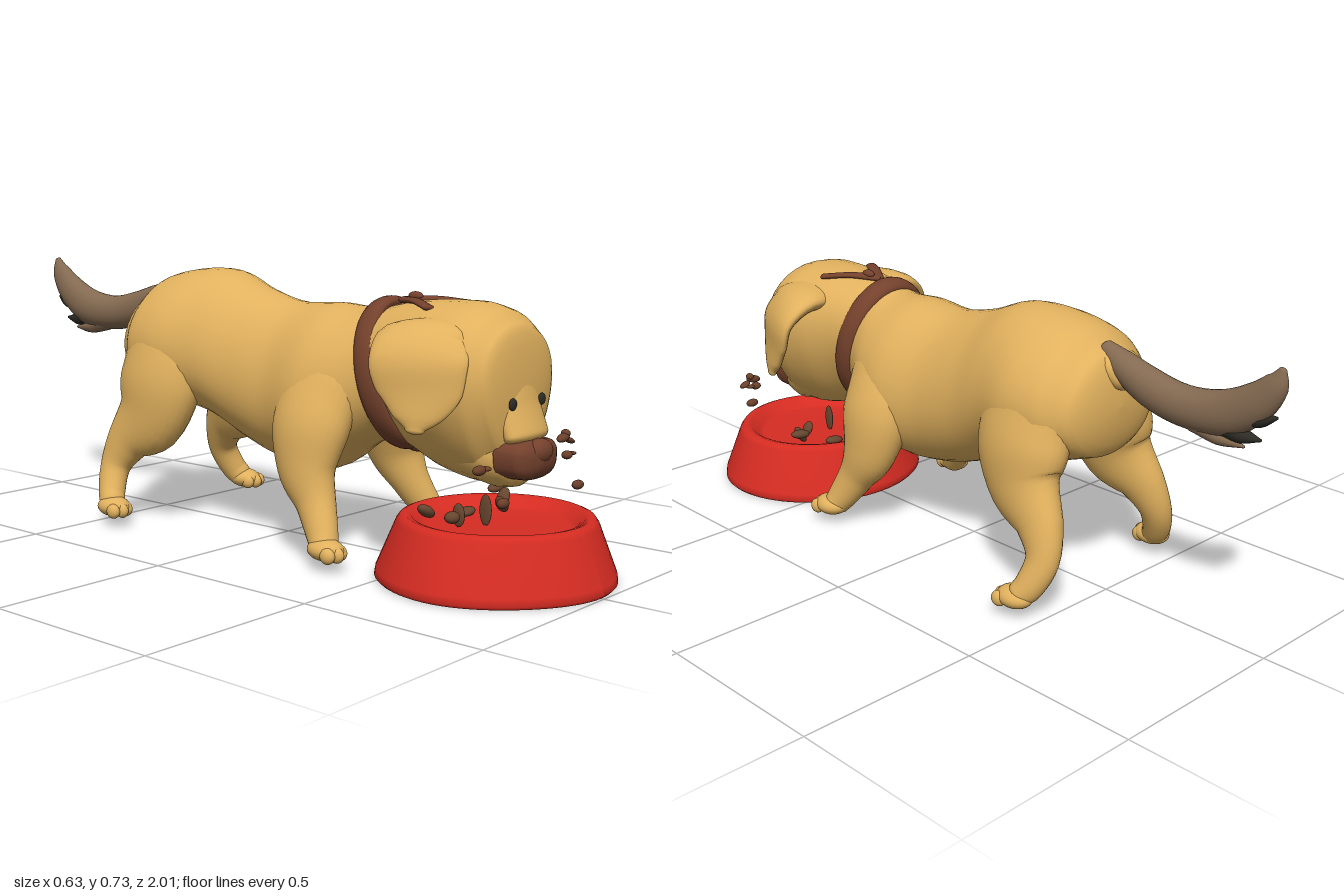
import * as THREE from 'three';

const paint = (name, color) => Object.assign(new THREE.MeshStandardMaterial({ color }), { name });

// Smooth rounded skin through rows of [x, y, z, halfWidth, halfDepth].
// side: direction of halfWidth; axis: fixed ring normal (else follows the path); dome: end bulge;
// taper: widens one half of each ring; power: below 1 squares the rings off.
function sweep(rows, { side = [1, 0, 0], axis = null, dome = 1, taper = 0, power = 1, steps = 28, sides = 28 } = {}) {
  const path = new THREE.CatmullRomCurve3(rows.map(r => new THREE.Vector3(r[0], r[1], r[2])));
  const size = new THREE.CatmullRomCurve3(rows.map(r => new THREE.Vector3(r[3], r[4], 0)));
  const pos = [], index = [], rings = [], cap = 6;
  const sideV = new THREE.Vector3(...side);
  const bend = v => Math.sign(v) * Math.abs(v) ** power;
  for (let k = 0; k < cap; k++) rings.push([0, -1, (1 - k / cap) * Math.PI / 2]);
  for (let i = 0; i <= steps; i++) rings.push([i / steps, 0, 0]);
  for (let k = 1; k <= cap; k++) rings.push([1, 1, (k / cap) * Math.PI / 2]);
  rings.forEach(([t, end, phi]) => {
    const p = path.getPoint(t), r = size.getPoint(t);
    const T = axis ? new THREE.Vector3(...axis) : path.getTangent(t);
    const S = sideV.clone().addScaledVector(T, -sideV.dot(T)).normalize();
    const U = new THREE.Vector3().crossVectors(T, S);
    p.addScaledVector(T, end * Math.sin(phi) * Math.min(r.x, r.y) * dome);
    const k = Math.max(Math.cos(phi), 0.002);
    for (let j = 0; j < sides; j++) {
      const a = j / sides * Math.PI * 2;
      const c = bend(Math.cos(a)), s = bend(Math.sin(a));
      const v = p.clone().addScaledVector(S, r.x * k * c * (1 + taper * s)).addScaledVector(U, r.y * k * s);
      pos.push(v.x, v.y, v.z);
    }
  });
  for (let i = 0; i < rings.length - 1; i++) {
    for (let j = 0; j < sides; j++) {
      const a = i * sides + j, b = i * sides + (j + 1) % sides;
      index.push(a, b, a + sides, b, b + sides, a + sides);
    }
  }
  const g = new THREE.BufferGeometry();
  g.setAttribute('position', new THREE.Float32BufferAttribute(pos, 3));
  g.setIndex(index);
  g.computeVertexNormals();
  return g;
}

export function createModel() {
  const model = new THREE.Group();
  const fur = paint('golden fur', 0xe1b15e);
  const brown = paint('leather brown', 0x74412c);
  const tailFur = paint('tail brown', 0x846a51);
  const crumb = paint('crumb brown', 0x6b3f2a);
  const food = paint('food brown', 0x67462f);
  const red = paint('bowl red', 0xd62c22);
  const black = paint('eye black', 0x2c2b24);

  const add = (name, geometry, material) => {
    const m = new THREE.Mesh(geometry, material);
    m.name = name;
    model.add(m);
    return m;
  };
  const blob = (name, [x, y, z], [a, b, c], material, tilt = 0) => {
    const m = add(name, new THREE.SphereGeometry(1, 24, 16), material);
    m.position.set(x, y, z);
    m.scale.set(a, b, c);
    m.rotation.z = tilt;
  };

  // Torso, from neck to rump
  add('body', sweep([
    [0, 0.49, 0.42, 0.13, 0.16], [0, 0.49, 0.36, 0.145, 0.175], [0, 0.465, 0.28, 0.185, 0.19],
    [0, 0.435, 0.18, 0.205, 0.225], [0, 0.435, 0.05, 0.178, 0.22], [0, 0.47, -0.08, 0.178, 0.215],
    [0, 0.52, -0.2, 0.195, 0.21], [0, 0.535, -0.32, 0.222, 0.195], [0, 0.535, -0.42, 0.212, 0.175],
    [0, 0.525, -0.48, 0.17, 0.145],
  ], { axis: [0, 0, -1], dome: 0.36, taper: 0.12, steps: 48, sides: 40 }), fur);

  // Head: broad crown narrowing to the jaw, then muzzle and nose
  add('head', sweep([
    [0, 0.49, 0.36, 0.135, 0.17], [0, 0.49, 0.45, 0.15, 0.188], [0, 0.475, 0.55, 0.178, 0.213],
    [0, 0.465, 0.64, 0.186, 0.222], [0, 0.46, 0.70, 0.178, 0.213], [0, 0.465, 0.745, 0.148, 0.175],
  ], { axis: [0, 0, 1], dome: 0.2, taper: 0.22, sides: 40 }), fur);
  add('muzzle', sweep([
    [0, 0.36, 0.64, 0.125, 0.11], [0, 0.335, 0.71, 0.108, 0.1], [0, 0.318, 0.748, 0.089, 0.079],
  ], { axis: [0, 0, 1], dome: 0.5 }), fur);
  add('noseBridge', sweep([
    [0, 0.53, 0.735, 0.07, 0.03], [0, 0.45, 0.745, 0.085, 0.038], [0, 0.37, 0.775, 0.083, 0.036],
  ], { dome: 0.6 }), fur);
  add('nosePatch', sweep([
    [0, 0.316, 0.745, 0.093, 0.053], [0, 0.315, 0.798, 0.088, 0.05],
  ], { axis: [0, 0, 1], dome: 0.7, taper: 0.06, power: 0.72 }), brown);
  blob('noseTip', [0, 0.335, 0.812], [0.046, 0.032, 0.028], brown);

  for (const s of [1, -1]) {
    const sideName = s > 0 ? 'left' : 'right';
    const mirror = rows => rows.map(([x, ...rest]) => [x * s, ...rest]);

    blob(sideName + 'Eye', [0.064 * s, 0.452, 0.776], [0.015, 0.015, 0.006], black);

    // Drooping ear
    add(sideName + 'Ear', sweep(mirror([
      [0.09, 0.615, 0.585, 0.09, 0.04], [0.17, 0.603, 0.585, 0.115, 0.037], [0.212, 0.555, 0.605, 0.122, 0.028],
      [0.22, 0.48, 0.615, 0.105, 0.022], [0.23, 0.42, 0.615, 0.06, 0.018], [0.236, 0.395, 0.615, 0.025, 0.012],
    ]), { side: [-0.4 * s, 0, 0.9] }), fur);

    // Front leg
    add(sideName + 'FrontLeg', sweep(mirror([
      [0.115, 0.47, 0.24, 0.075, 0.11], [0.16, 0.36, 0.225, 0.08, 0.115], [0.188, 0.24, 0.235, 0.062, 0.088],
      [0.2, 0.16, 0.275, 0.048, 0.057], [0.222, 0.09, 0.315, 0.04, 0.044], [0.232, 0.065, 0.33, 0.038, 0.038],
    ]), { dome: 0.7 }), fur);

    // Hind leg
    add(sideName + 'HindLeg', sweep(mirror([
      [0.125, 0.54, -0.35, 0.09, 0.13], [0.16, 0.42, -0.345, 0.088, 0.14], [0.177, 0.32, -0.37, 0.072, 0.12],
      [0.2, 0.235, -0.445, 0.052, 0.07], [0.222, 0.16, -0.477, 0.04, 0.047],
      [0.252, 0.09, -0.46, 0.037, 0.04], [0.264, 0.068, -0.445, 0.036, 0.036],
    ]), { dome: 0.7 }), fur);

    // Paws with toes
    for (const [part, x, z] of [['FrontPaw', 0.243, 0.345], ['HindPaw', 0.272, -0.43]]) {
      blob(sideName + part, [x * s, 0.057, z], [0.042, 0.029, 0.052], fur);
      for (const t of [-1, 0, 1]) {
        blob(sideName + part + 'Toe', [(x + 0.005 + t * 0.024) * s, 0.05, z + 0.04 - Math.abs(t) * 0.01],
          [0.016, 0.021, 0.022], fur);
      }
    }

    // Strap lying over the crown
    add(sideName + 'CrownStrap', sweep(mirror([
      [0, 0.678, 0.4, 0.017, 0.009], [0.045, 0.681, 0.47, 0.017, 0.008], [0.09, 0.672, 0.54, 0.016, 0.008],
    ])), brown);
  }

  // Collar
  const collar = add('collar', new THREE.TorusGeometry(0.17, 0.018, 14, 56), brown);
  collar.position.set(0, 0.49, 0.39);
  collar.scale.set(0.83, 1.07, 1.9);
  collar.rotation.x = -0.24;
  blob('collarKnot', [0.015, 0.688, 0.425], [0.013, 0.012, 0.022], brown);
  blob('collarBuckle', [0, 0.305, 0.445], [0.02, 0.016, 0.03], brown);

  // Tail with feathered underside
  add('tailRoot', sweep([
    [0, 0.63, -0.44, 0.06, 0.05], [0, 0.618, -0.5, 0.05, 0.045], [0, 0.605, -0.53, 0.036, 0.036],
  ]), fur);
  add('tail', sweep([
    [0, 0.665, -0.475, 0.022, 0.022], [0, 0.635, -0.53, 0.036, 0.038], [0, 0.597, -0.62, 0.043, 0.05],
    [0, 0.578, -0.72, 0.045, 0.052], [0, 0.59, -0.84, 0.042, 0.056], [0, 0.64, -0.93, 0.034, 0.048],
    [0, 0.695, -0.978, 0.022, 0.032], [0, 0.732, -0.992, 0.008, 0.01],
  ], { dome: 0.6 }), tailFur);
  [[-0.76, 0.545, -0.9, 0.522, tailFur], [-0.84, 0.56, -0.945, 0.55, black], [-0.9, 0.6, -0.985, 0.615, black]]
    .forEach(([z0, y0, z1, y1, mat]) => add('tailFeather', sweep([
      [0, y0, z0, 0.028, 0.025], [0, (y0 + y1) / 2 - 0.006, (z0 + z1) / 2, 0.022, 0.02], [0, y1, z1, 0.004, 0.004],
    ], { steps: 12, sides: 16 }), mat));

  // Bowl: hollow foot, sloping wall, dished top, slightly pointed front
  const profile = [[0, 0.105], [0.19, 0.105], [0.225, 0.09], [0.275, 0.012], [0.29, 0.004], [0.308, 0.004],
    [0.316, 0.012], [0.313, 0.03], [0.262, 0.148], [0.253, 0.16], [0.24, 0.165], [0.222, 0.16],
    [0.2, 0.138], [0.185, 0.132], [0, 0.132]];
  const bowlGeo = new THREE.LatheGeometry(profile.map(p => new THREE.Vector2(...p)), 72);
  const bp = bowlGeo.attributes.position;
  for (let i = 0; i < bp.count; i++) {
    const z = bp.getZ(i) * 0.95;
    bp.setXYZ(i, bp.getX(i) * (1 - 1.8 * Math.max(0, z) ** 2), bp.getY(i), z);
  }
  bowlGeo.computeVertexNormals();
  add('bowl', bowlGeo, red).position.z = 0.7;

  // Flying crumbs: x, y, z, length, thickness, tilt
  [[-0.19, 0.31, 0.77, 0.022, 0.012, 0], [-0.17, 0.312, 0.775, 0.014, 0.006, 0], [-0.163, 0.235, 0.82, 0.019, 0.013, 0],
    [0.212, 0.333, 0.75, 0.024, 0.011, 0.2], [0.243, 0.322, 0.75, 0.018, 0.007, -0.4], [0.224, 0.343, 0.75, 0.011, 0.01, 0],
    [0.183, 0.296, 0.78, 0.016, 0.011, 0], [0.203, 0.298, 0.78, 0.014, 0.005, 0], [0.172, 0.227, 0.82, 0.02, 0.012, 0],
  ].forEach(([x, y, z, a, b, tilt]) => blob('flyingCrumb', [x, y, z], [a, b, 0.013], crumb, tilt));

  // Food in the bowl, with two bits showing through its underside
  [[-0.165, 0.183, 0.6, 0.03, 0.014, -0.5], [-0.14, 0.172, 0.66, 0.022, 0.015, 0], [-0.085, 0.165, 0.64, 0.008, 0.03, 0],
    [-0.012, 0.17, 0.67, 0.005, 0.04, 0], [0.09, 0.165, 0.65, 0.011, 0.024, 0.5], [0.14, 0.168, 0.62, 0.012, 0.03, -0.5],
    [0.17, 0.188, 0.58, 0.032, 0.013, 0.15], [0.05, 0.14, 0.57, 0.03, 0.012, 0.1], [0, 0.105, 0.66, 0.009, 0.008, 0],
    [0, 0.105, 0.71, 0.009, 0.008, 0],
  ].forEach(([x, y, z, a, b, tilt]) => blob('foodPiece', [x, y, z], [a, b, 0.018], food, tilt));

  return model;
}
